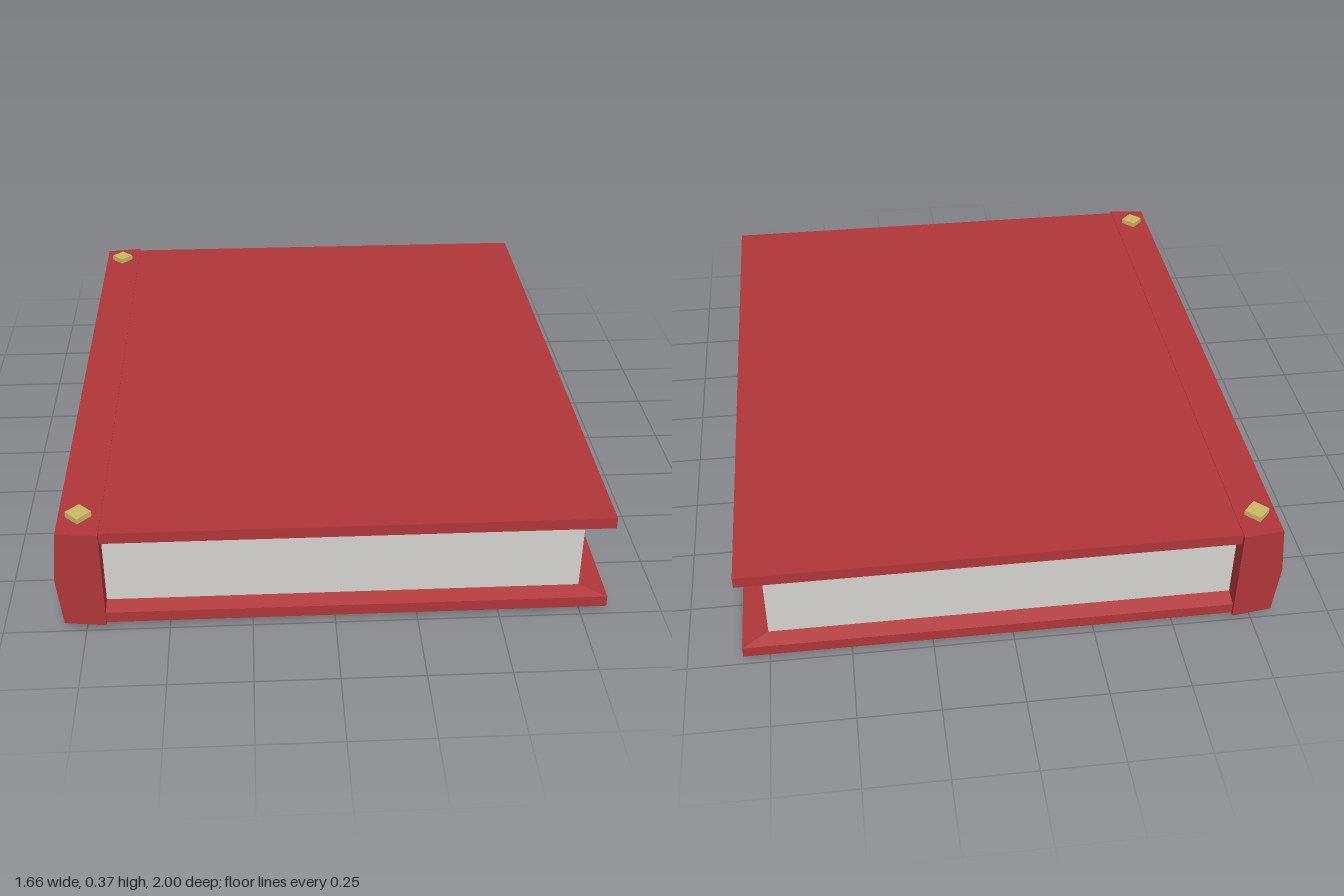
import * as THREE from 'three';

const red = new THREE.MeshStandardMaterial({ color: 0xb03639 });
red.name = 'red cover';
const paper = new THREE.MeshStandardMaterial({ color: 0xd4d2cf });
paper.name = 'paper';
const brass = new THREE.MeshStandardMaterial({ color: 0xcdb765 });
brass.name = 'brass';

const MID = 0.183; // mid height of the book

function add(parent, name, geometry, material, x = 0, y = 0, z = 0) {
  const mesh = new THREE.Mesh(geometry, material);
  mesh.name = name;
  mesh.position.set(x, y, z);
  parent.add(mesh);
  return mesh;
}

// Cover board whose inner face slopes in from the rim to the page block
function coverGeometry() {
  const geometry = new THREE.BoxGeometry(1, 1, 1, 1, 2, 1).toNonIndexed();
  const p = geometry.attributes.position;
  for (let i = 0; i < p.count; i++) {
    const inner = p.getY(i) < -0.25;
    const y = inner ? 0.115 : p.getY(i) < 0.25 ? 0.128 : 0.164;
    const x = p.getX(i) < 0 ? -0.7 : inner ? 0.75 : 0.83;
    p.setXYZ(i, x, y, Math.sign(p.getZ(i)) * (inner ? 0.94 : 0.988));
  }
  geometry.computeVertexNormals();
  return geometry;
}

// Spine with a shallow pointed back, slightly shorter at its outer edge
function spineGeometry() {
  const shape = new THREE.Shape([
    [-0.69, -0.166], [-0.69, 0.166], [-0.816, 0.164], [-0.833, 0], [-0.816, -0.164],
  ].map(([x, y]) => new THREE.Vector2(x, y)));
  const geometry = new THREE.ExtrudeGeometry(shape, { depth: 2, bevelEnabled: false });
  geometry.translate(0, 0, -1);
  const p = geometry.attributes.position;
  for (let i = 0; i < p.count; i++) {
    const taper = 0.016 * (-0.69 - p.getX(i)) / 0.143;
    p.setZ(i, Math.sign(p.getZ(i)) * (1 - taper));
  }
  geometry.computeVertexNormals();
  return geometry;
}

export function createModel() {
  const book = new THREE.Group();
  book.name = 'book';

  add(book, 'pages', new THREE.BoxGeometry(1.45, 0.23, 1.88), paper, 0.025, MID, 0);
  add(book, 'spine', spineGeometry(), red, 0, MID, 0);

  // Front and back boards
  const cover = coverGeometry();
  add(book, 'topCover', cover, red, 0, MID, 0);
  add(book, 'bottomCover', cover, red, 0, MID, 0).rotation.x = Math.PI;
  // Turning about x keeps the hinge on the spine side

  // Diamond studs at the spine corners
  const stud = new THREE.CylinderGeometry(0.039, 0.039, 0.03, 4).toNonIndexed();
  stud.computeVertexNormals();
  for (const side of [1, -1]) {
    for (const end of [1, -1]) {
      add(book, side > 0 ? 'topStud' : 'bottomStud', stud, brass, -0.755, MID + side * 0.168, end * 0.9);
    }
  }
  return book;
}
